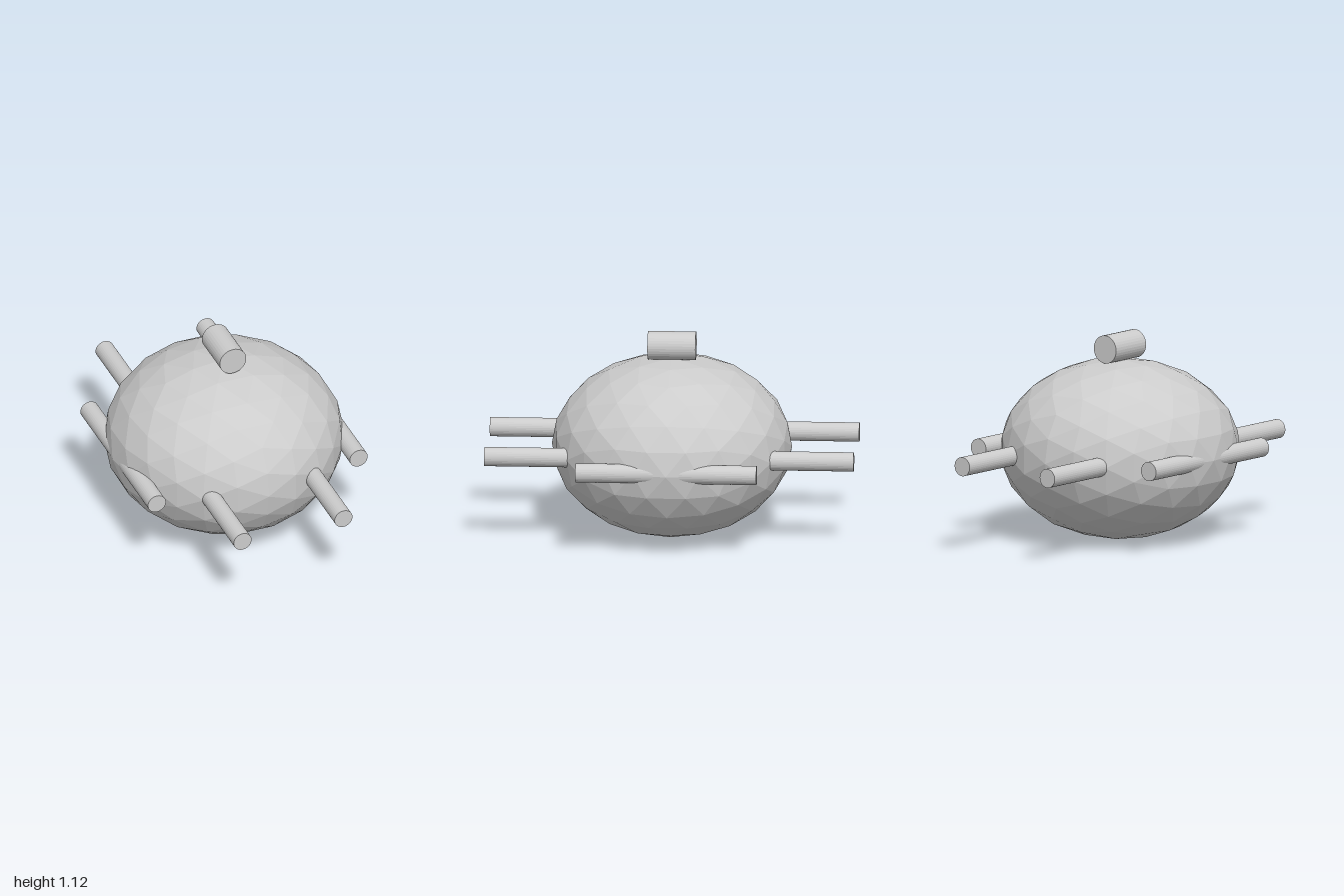
import * as THREE from 'three';

const grey = new THREE.MeshStandardMaterial({ color: 0xcccccc, flatShading: true });

// Icosphere whose edges are halved and pushed out to the sphere at each step
function icosphere(steps) {
  let geo = new THREE.IcosahedronGeometry(1, 0);
  for (let i = 0; i < steps; i++) {
    const points = Array.from(geo.attributes.position.array);
    const order = Array.from({ length: points.length / 3 }, (_, k) => k);
    geo = new THREE.PolyhedronGeometry(points, order, 1, 1);
  }
  return geo;
}

// Round bar lying along z
function bar(name, radius, length, x, y) {
  const geo = new THREE.CylinderGeometry(radius, radius, length, 32).rotateX(Math.PI / 2);
  const mesh = new THREE.Mesh(geo, grey);
  mesh.name = name;
  mesh.position.set(x, y, 0);
  return mesh;
}

export function createModel() {
  const model = new THREE.Group();
  model.name = 'facetedBodyWithBars';

  // Squashed faceted body
  const body = new THREE.Mesh(icosphere(2).scale(0.65, 0.489, 0.65), grey);
  body.name = 'body';
  body.position.y = 0.492;
  model.add(body);

  // Knob resting on top
  model.add(bar('topKnob', 0.077, 0.26, 0, 1.049));

  // Long inner bars and short outer bars passing through the body
  for (const [side, s] of [['left', 1], ['right', -1]]) {
    model.add(bar(side + 'InnerBar', 0.052, 2, s * 0.294, 0.493));
    model.add(bar(side + 'OuterBar', 0.052, 0.98, s * 0.588, 0.493));
  }
  return model;
}
